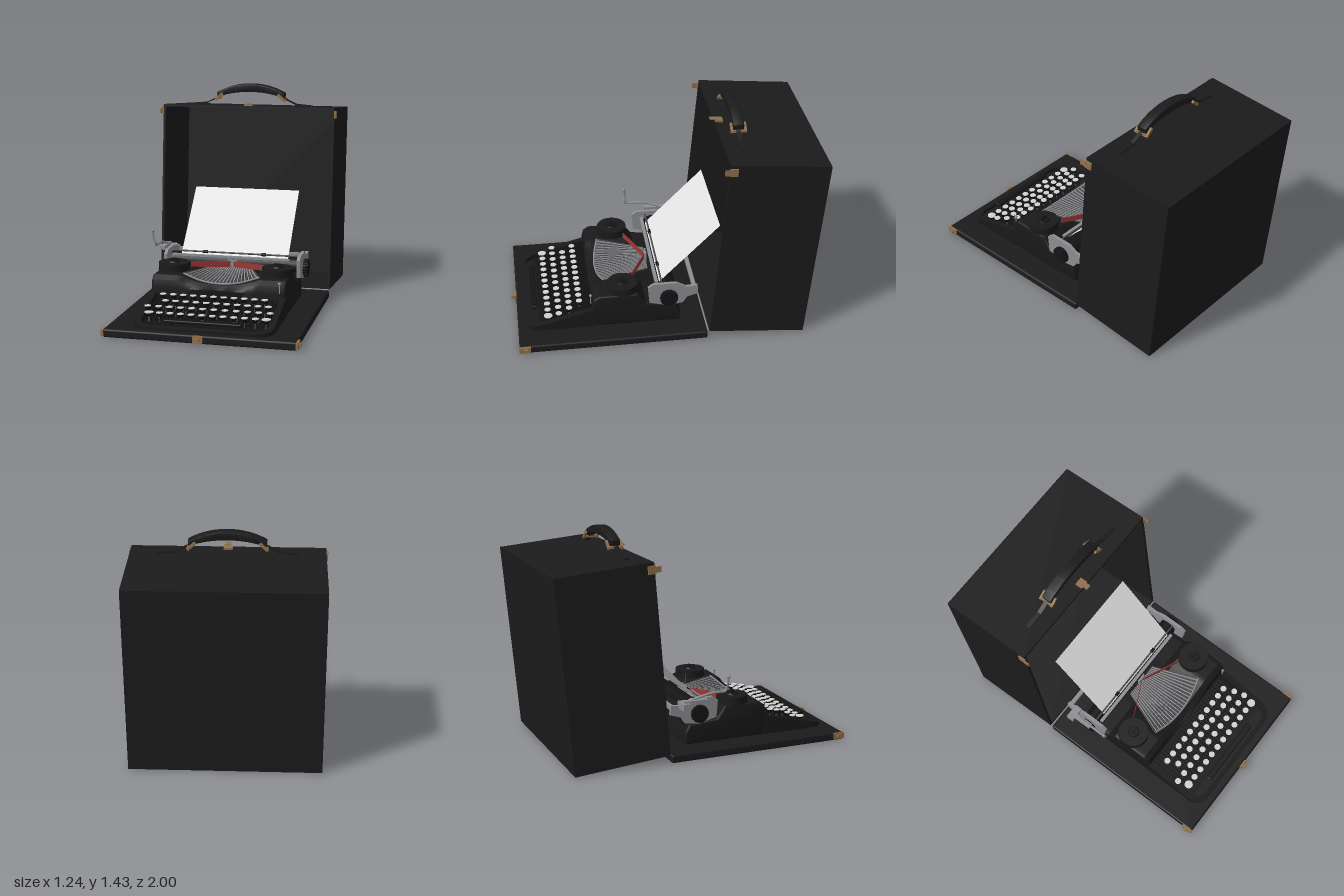
import * as THREE from 'three';
import { toCreasedNormals } from 'three/addons/utils/BufferGeometryUtils.js';
import { RoundedBoxGeometry } from 'three/addons/geometries/RoundedBoxGeometry.js';

const mat = (name, color, side = THREE.FrontSide) => {
  const m = new THREE.MeshStandardMaterial({ color, side });
  m.name = name;
  return m;
};

export function createModel() {
  const root = new THREE.Group();
  const M = {
    leather: mat('case black', 0x1b1b1b),
    enamel: mat('enamel black', 0x191919),
    rubber: mat('rubber black', 0x141414),
    steel: mat('steel grey', 0x8d8e92),
    dark: mat('dark steel', 0x4c4c4e),
    brass: mat('brass', 0x8f6f4a),
    paper: mat('paper', 0xe2e2e2, THREE.DoubleSide),
    ribbon: mat('ribbon red', 0x9a3634, THREE.DoubleSide),
    keyTop: mat('key top', 0xd2d2d0),
  };
  const V = (x, y, z) => new THREE.Vector3(x, y, z);
  const add = (name, geo, material, x = 0, y = 0, z = 0, parent = root) => {
    const m = new THREE.Mesh(geo, material);
    m.name = name;
    m.position.set(x, y, z);
    parent.add(m);
    return m;
  };
  const box = (name, material, w, h, d, x, y, z, parent) =>
    add(name, new THREE.BoxGeometry(w, h, d), material, x, y, z, parent);
  // Cylinder lying along x
  const axle = (name, material, r, len, x, y, z, seg = 24) =>
    add(name, new THREE.CylinderGeometry(r, r, len, seg).rotateZ(Math.PI / 2), material, x, y, z);
  // Box stretched between two points
  const bar = (name, material, a, b, w, h, parent) => {
    const m = box(name, material, w, h, a.distanceTo(b), 0, 0, 0, parent);
    m.position.copy(a).lerp(b, 0.5);
    m.lookAt(b);
    return m;
  };
  // Side outline of [z, y] points extruded along x, centred
  const sideExtrude = (pts, width, steps = 1, bevel = 0) => {
    const s = new THREE.Shape(pts.map(([z, y]) => new THREE.Vector2(-z, y)));
    const g = new THREE.ExtrudeGeometry(s, {
      depth: width, steps, bevelEnabled: bevel > 0, bevelSize: bevel,
      bevelThickness: bevel, bevelOffset: -bevel, bevelSegments: 3,
    });
    return g.translate(0, 0, -width / 2).rotateY(Math.PI / 2);
  };

  // Case base, hinge and catches
  add('caseBase', new RoundedBoxGeometry(1.2, 0.052, 1.225, 2, 0.012), M.leather, 0, 0.026, 0.3525);
  axle('hingeRod', M.steel, 0.004, 1.18, 0, 0.053, -0.264, 8);
  box('frontCatchPlate', M.brass, 0.06, 0.045, 0.015, 0, 0.03, 0.97);
  box('frontCatchKnob', M.brass, 0.03, 0.02, 0.02, 0, 0.03, 0.988);
  for (const s of [-1, 1]) {
    box('sideCatchPlate', M.brass, 0.015, 0.04, 0.075, s * 0.602, 0.03, 0.93);
    box('sideCatchKnob', M.brass, 0.02, 0.02, 0.025, s * 0.612, 0.03, 0.925);
  }

  // Lid: a deep tray standing on its edge, open to the front and leaning back
  const lid = new THREE.Group();
  lid.name = 'caseLid';
  lid.position.set(0, 0.056, -0.27);
  lid.rotation.x = -0.087;
  root.add(lid);
  const H = 1.235, D = 0.628, T = 0.016;
  box('lidBack', M.leather, 1.2, H, T, 0, H / 2, -D + T / 2, lid);
  box('lidTop', M.leather, 1.2, T, D - T, 0, H - T / 2, -(D - T) / 2, lid);
  box('lidBottom', M.leather, 1.2, T, D - T, 0, T / 2, -(D - T) / 2, lid);
  for (const s of [-1, 1]) {
    box('lidSide', M.leather, T, H - 2 * T, D - T, s * (0.6 - T / 2), H / 2, -(D - T) / 2, lid);
    box('lidClasp', M.brass, 0.014, 0.05, 0.05, s * 0.604, H - 0.045, -0.02, lid);
    box('lidClaspHook', M.brass, 0.008, 0.035, 0.04, s * 0.61, H - 0.045, 0.018, lid);
  }
  box('topClasp', M.brass, 0.055, 0.014, 0.05, 0, H + 0.006, -0.028, lid);
  box('topClaspHook', M.brass, 0.035, 0.008, 0.04, 0, H + 0.014, 0.012, lid);

  // Carrying handle
  const grip = new THREE.Shape();
  grip.moveTo(-0.235, 1.335);
  grip.quadraticCurveTo(-0.13, 1.375, 0, 1.375);
  grip.quadraticCurveTo(0.13, 1.375, 0.235, 1.335);
  grip.lineTo(0.24, 1.368);
  grip.quadraticCurveTo(0.13, 1.43, 0, 1.43);
  grip.quadraticCurveTo(-0.13, 1.43, -0.24, 1.368);
  const gripGeo = new THREE.ExtrudeGeometry(grip, {
    depth: 0.054, curveSegments: 10, bevelSize: 0.008, bevelThickness: 0.008, bevelOffset: -0.008, bevelSegments: 2,
  });
  add('handleGrip', toCreasedNormals(gripGeo, 0.6), M.leather, 0, 0, -0.517);
  for (const s of [-1, 1]) {
    bar('handleStrap', M.leather, V(s * 0.23, 1.335, -0.487), V(s * 0.32, 1.292, -0.487), 0.028, 0.008);
    bar('handleStrapEnd', M.leather, V(s * 0.31, 1.293, -0.487), V(s * 0.43, 1.283, -0.487), 0.028, 0.01);
    for (const e of [-1, 1])
      bar('handleLink', M.brass, V(s * 0.195, 1.362, -0.49 + e * 0.044), V(s * 0.245, 1.318, -0.49 + e * 0.044), 0.014, 0.018);
    bar('handlePin', M.brass, V(s * 0.24, 1.325, -0.537), V(s * 0.24, 1.325, -0.443), 0.014, 0.014);
  }

  // Machine housing; its top dips in the middle to hold the type bars
  const dip = (x) => 0.05 * Math.max(0, 1 - (x / 0.26) ** 2);
  const house = sideExtrude([[0.46, 0.05], [0.478, 0.2], [0.465, 0.25], [0.43, 0.276], [0.18, 0.276],
    [0.125, 0.2], [-0.07, 0.18], [-0.1, 0.13], [-0.1, 0.05]], 0.85, 36, 0.014);
  const p = house.attributes.position;
  for (let i = 0; i < p.count; i++)
    if (p.getY(i) > 0.24) p.setY(i, p.getY(i) - dip(p.getX(i)));
  add('housing', toCreasedNormals(house, 0.6), M.enamel);

  // Keyboard frame: rounded U in plan, sloping down to the front
  const plan = (w, front, r) => {
    const pts = new THREE.Path();
    pts.moveTo(-w, -0.46);
    pts.lineTo(-w, -front + r);
    pts.quadraticCurveTo(-w, -front, -w + r, -front);
    pts.lineTo(w - r, -front);
    pts.quadraticCurveTo(w, -front, w, -front + r);
    pts.lineTo(w, -0.46);
    return pts.getPoints(8);
  };
  const outline = new THREE.Shape([...plan(0.44, 0.915, 0.11), ...plan(0.4, 0.885, 0.09).reverse()]);
  const frame = new THREE.ExtrudeGeometry(outline, { depth: 1, bevelEnabled: false }).rotateX(-Math.PI / 2);
  const q = frame.attributes.position;
  for (let i = 0; i < q.count; i++)
    q.setY(i, 0.05 + q.getY(i) * (0.018 + 0.115 * (0.915 - q.getZ(i)) / 0.455));
  add('keyboardFrame', toCreasedNormals(frame, 0.6), M.enamel);
  box('keyboardFloor', M.rubber, 0.8, 0.012, 0.36, 0, 0.054, 0.64);

  // Key levers
  for (let i = 0; i < 30; i++) {
    const x = -0.38 + i * 0.76 / 29;
    bar('keyLever', M.rubber, V(x, 0.15, 0.465), V(x, 0.075, 0.77), 0.008, 0.012);
  }

  // Keys: [count, first x, last x, z, top y]
  const cup = new THREE.CylinderGeometry(0.024, 0.012, 0.024, 14);
  const disc = new THREE.CylinderGeometry(0.021, 0.021, 0.005, 14);
  const rows = [[11, -0.335, 0.322, 0.556, 0.183], [11, -0.3, 0.36, 0.625, 0.16],
    [12, -0.395, 0.385, 0.695, 0.14], [12, -0.365, 0.375, 0.765, 0.12]];
  rows.forEach(([n, x0, x1, z, y], r) => {
    for (let i = 0; i < n; i++) {
      const key = new THREE.Group();
      key.name = 'key';
      key.position.set(x0 + (x1 - x0) * i / (n - 1), y, z);
      const big = r === 3 && (i === 0 || i === n - 1) ? 1.35 : 1;
      key.scale.set(big, 1, big);
      add('keyCup', cup, M.rubber, 0, -0.014, 0, key);
      add('keyDisc', disc, M.keyTop, 0, 0, 0, key);
      box('keyStem', M.dark, 0.006, y - 0.08, 0.01, 0, -0.02 - (y - 0.08) / 2, 0, key);
      root.add(key);
    }
  });
  add('spaceBar', new RoundedBoxGeometry(0.49, 0.02, 0.04, 2, 0.008), M.rubber, 0, 0.097, 0.848);
  for (const s of [-1, 1]) box('spaceBarArm', M.rubber, 0.01, 0.04, 0.02, s * 0.2, 0.07, 0.848);

  // Fan of type bars, and the curved rest under their front ends
  for (let i = 0; i < 41; i++) {
    const t = i / 20 - 1, x = t * 0.245;
    bar('typeBar', i % 2 ? M.steel : M.dark, V(x, 0.284 - dip(x), 0.418 - 0.04 * t * t), V(t * 0.125, 0.262, 0.075), 0.007, 0.008);
  }
  const rest = new THREE.CatmullRomCurve3([-1, -0.5, 0, 0.5, 1].map((t) =>
    V(t * 0.25, 0.284 - dip(t * 0.25), 0.424 - 0.04 * t * t)));
  add('typeRest', new THREE.TubeGeometry(rest, 24, 0.006, 6), M.steel);
  box('typeGuide', M.steel, 0.06, 0.065, 0.014, 0, 0.276, 0.075);
  for (const s of [-1, 1]) box('typeGuideFork', M.steel, 0.012, 0.02, 0.012, s * 0.024, 0.312, 0.075);

  // Ribbon and spools
  for (const s of [-1, 1]) {
    bar('ribbon', M.ribbon, V(s * 0.01, 0.283, 0.086), V(s * 0.25, 0.298, 0.2), 0.003, 0.038);
    const spool = new THREE.Group();
    spool.name = 'ribbonSpool';
    spool.position.set(s * 0.345, 0.275, 0.27);
    root.add(spool);
    add('spoolCover', new THREE.CylinderGeometry(0.1, 0.102, 0.05, 32), M.enamel, 0, 0.025, 0, spool);
    add('spoolBoss', new THREE.CylinderGeometry(0.035, 0.04, 0.01, 20), M.rubber, 0, 0.054, 0, spool);
    box('spoolKnob', M.rubber, 0.035, 0.018, 0.01, 0, 0.066, 0, spool);
  }

  // Carriage end plates, knobs and rails
  const plate = sideExtrude([[0.115, 0.335], [0.08, 0.36], [-0.07, 0.36], [-0.135, 0.325], [-0.21, 0.33],
    [-0.215, 0.27], [-0.14, 0.245], [-0.115, 0.205], [-0.02, 0.19], [0.105, 0.22]], 0.022);
  for (const s of [-1, 1]) {
    add('carriageEnd', plate, M.steel, s * 0.45, 0, 0);
    axle('platenKnob', M.rubber, 0.054, 0.03, s * 0.48, 0.262, -0.02, 20);
    for (let i = 0; i < 20; i++) {
      const a = i * Math.PI / 10;
      axle('knobRidge', M.rubber, 0.006, 0.026, s * 0.48, 0.262 + 0.053 * Math.sin(a), -0.02 + 0.053 * Math.cos(a), 6);
    }
    axle('bailRoller', M.rubber, 0.011, 0.03, s * 0.2, 0.343, 0.02, 12);
  }
  axle('platen', M.rubber, 0.058, 0.88, 0, 0.268, -0.02, 32);
  axle('paperBail', M.dark, 0.006, 0.86, 0, 0.343, 0.02, 8);
  box('frontRail', M.steel, 0.8, 0.014, 0.022, -0.02, 0.322, 0.05);
  box('rearRail', M.steel, 0.9, 0.03, 0.022, 0, 0.305, -0.19);
  box('carriageBed', M.enamel, 0.86, 0.05, 0.16, 0, 0.215, -0.04);
  box('paperTable', M.enamel, 0.74, 0.012, 0.12, 0, 0.27, -0.13);

  // Sheet of paper leaning back from the platen
  const sheet = new THREE.PlaneGeometry(0.73, Math.hypot(0.395, 0.4));
  add('paperSheet', sheet, M.paper, 0, 0.515, -0.1675).rotation.x = -Math.atan2(0.395, 0.4);

  // Carriage return lever
  box('leverMount', M.steel, 0.1, 0.045, 0.05, -0.487, 0.33, -0.13);
  box('leverArmPlate', M.steel, 0.035, 0.02, 0.16, -0.5, 0.355, -0.06);
  const lever = new THREE.CatmullRomCurve3([V(-0.49, 0.36, -0.1), V(-0.505, 0.385, -0.02), V(-0.505, 0.4, 0.06),
    V(-0.505, 0.4, 0.14), V(-0.505, 0.42, 0.157), V(-0.52, 0.45, 0.157), V(-0.525, 0.5, 0.157)], false, 'catmullrom', 0.3);
  add('returnLever', new THREE.TubeGeometry(lever, 32, 0.009, 8), M.steel);
  add('leverTip', new THREE.SphereGeometry(0.012, 10, 8), M.steel, -0.525, 0.498, 0.157);

  // Small selector lever beside the keyboard
  box('selectorRod', M.steel, 0.007, 0.06, 0.007, 0.4, 0.24, 0.485);
  add('selectorBall', new THREE.SphereGeometry(0.01, 10, 8), M.steel, 0.4, 0.272, 0.485);
  return root;
}
